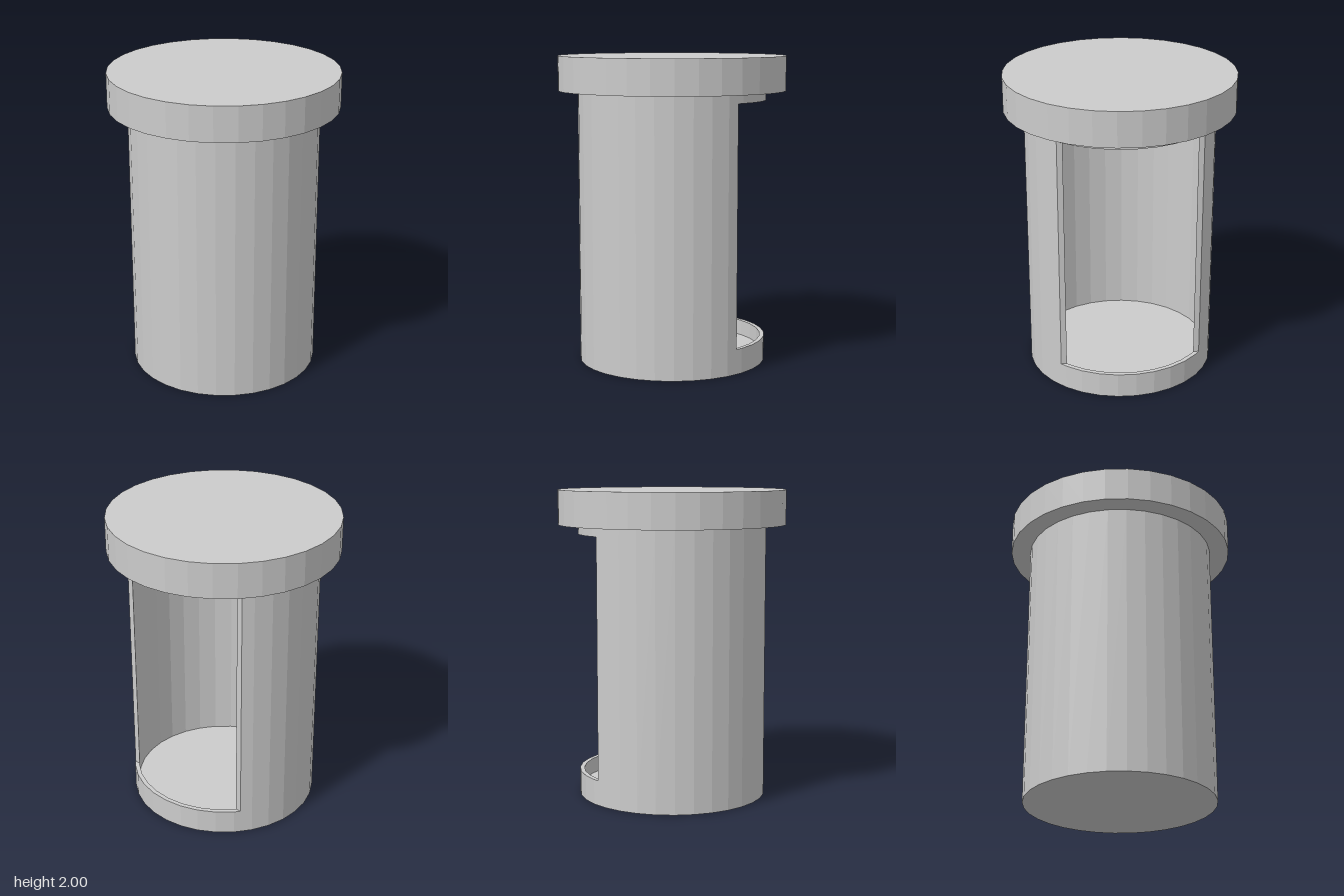
import * as THREE from 'three';

const SIDES = 32;
const R_OUT = 0.612, R_IN = 0.583, R_CAP = 0.74;
const CUT_X = 0.4;                      // flat plane that opens the window
const WIN_LOW = 0.162, WIN_HIGH = 1.715;
const FLOOR = 0.06, CAP_LOW = 1.775, CEILING = 1.98, TOP = 2;

const material = new THREE.MeshStandardMaterial({ color: 0xcccccc, flatShading: true });

// Polygon corners of radius r, plus the points where its sides cross the cut plane
function ring(r) {
  const corner = i => {
    const a = (i / SIDES) * Math.PI * 2;
    return [r * Math.cos(a), -r * Math.sin(a)];
  };
  const points = [];
  for (let i = 0; i < SIDES; i++) {
    const p = corner(i), q = corner(i + 1);
    points.push(p);
    if ((p[0] - CUT_X) * (q[0] - CUT_X) < 0) {
      const t = (CUT_X - p[0]) / (q[0] - p[0]);
      points.push([CUT_X, p[1] + t * (q[1] - p[1])]);
    }
  }
  return points;
}

// Geometry from a list of quads, each with its corners counter-clockwise
function fromQuads(quads) {
  const pos = [];
  for (const [a, b, c, d] of quads) pos.push(...a, ...b, ...c, ...a, ...c, ...d);
  const geometry = new THREE.BufferGeometry();
  geometry.setAttribute('position', new THREE.Float32BufferAttribute(pos, 3));
  geometry.computeVertexNormals();
  return geometry;
}

// Upright tube with a wall thickness and a window on its +x side
function tubeGeometry() {
  const outer = ring(R_OUT), inner = ring(R_IN), n = outer.length;
  const at = (p, y) => [p[0], y, p[1]];
  const quads = [];
  const wall = (p, q, y0, y1) => quads.push([at(p, y0), at(q, y0), at(q, y1), at(p, y1)]);
  const inWindow = i => (outer[i][0] + outer[(i + 1) % n][0]) / 2 > CUT_X;

  for (let i = 0; i < n; i++) {
    const j = (i + 1) % n;
    const o = outer[i], o2 = outer[j], k = inner[i], k2 = inner[j];
    if (inWindow(i)) {
      // bands below and above the window, with their ledges
      wall(o, o2, 0, WIN_LOW);
      wall(o, o2, WIN_HIGH, CAP_LOW);
      wall(k2, k, FLOOR, WIN_LOW);
      wall(k2, k, WIN_HIGH, CEILING);
      quads.push([at(o, WIN_LOW), at(o2, WIN_LOW), at(k2, WIN_LOW), at(k, WIN_LOW)]);
      quads.push([at(k, WIN_HIGH), at(k2, WIN_HIGH), at(o2, WIN_HIGH), at(o, WIN_HIGH)]);
    } else {
      wall(o, o2, 0, CAP_LOW);
      wall(k2, k, FLOOR, CEILING);
      // jambs at the two window edges
      if (inWindow((i + n - 1) % n)) wall(k, o, WIN_LOW, WIN_HIGH);
      if (inWindow(j)) wall(o2, k2, WIN_LOW, WIN_HIGH);
    }
  }
  return fromQuads(quads);
}

export function createModel() {
  const model = new THREE.Group();
  model.name = 'windowedCanister';

  const add = (name, geometry) => {
    const mesh = new THREE.Mesh(geometry, material);
    mesh.name = name;
    model.add(mesh);
  };
  const disc = (r, y, facing) =>
    new THREE.CircleGeometry(r, SIDES).rotateX(-facing * Math.PI / 2).translate(0, y, 0);

  add('tubeWall', tubeGeometry());
  add('base', disc(R_OUT, 0, -1));
  add('floor', disc(R_IN, FLOOR, 1));
  add('ceiling', disc(R_IN, CEILING, -1));

  // Overhanging cap: underside lip, rim and flat top
  const profile = [[R_OUT, CAP_LOW], [R_CAP, CAP_LOW], [R_CAP, TOP], [0, TOP]];
  add('cap', new THREE.LatheGeometry(profile.map(p => new THREE.Vector2(...p)), SIDES));

  return model;
}
